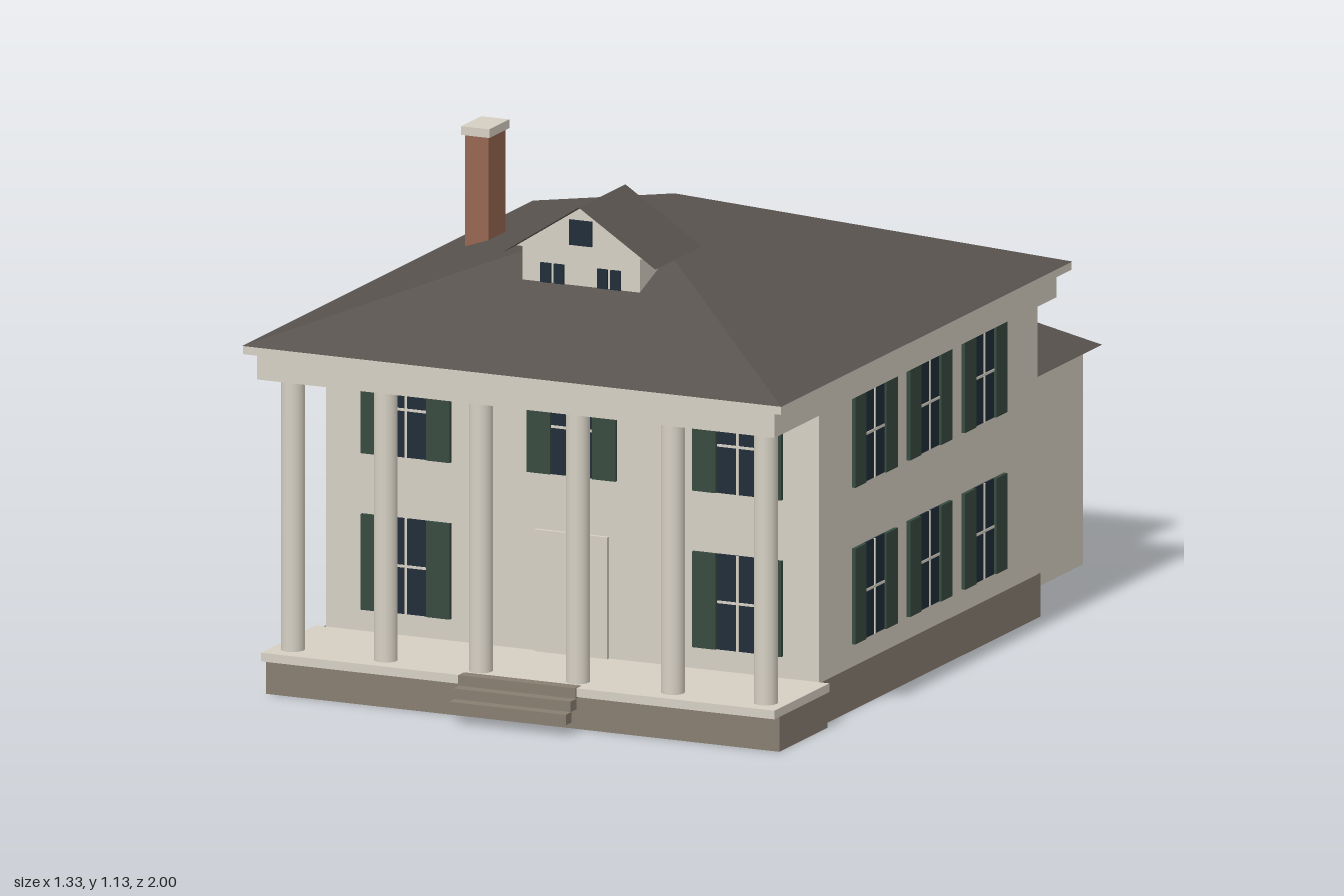
import * as THREE from 'three';

const mat = (name, color, side = THREE.FrontSide) => {
  const m = new THREE.MeshStandardMaterial({ color, side });
  m.name = name;
  return m;
};

export function createModel() {
  const cream = mat('creamPaint', 0xd6d0c3, THREE.DoubleSide);
  const stone = mat('foundationStone', 0x887e71, THREE.DoubleSide);
  const slate = mat('roofSlate', 0x59534f, THREE.DoubleSide);
  const green = mat('shutterGreen', 0x364a3f);
  const glass = mat('darkGlass', 0x1e2c38);
  const brick = mat('chimneyBrick', 0x966650);

  const house = new THREE.Group();
  house.name = 'house';

  const add = (name, geometry, material, parent = house) => {
    const mesh = new THREE.Mesh(geometry, material);
    mesh.name = name;
    parent.add(mesh);
    return mesh;
  };
  // Box given by its limits on each axis
  const box = (name, material, x0, x1, y0, y1, z0, z1, parent) => {
    const g = new THREE.BoxGeometry(x1 - x0, y1 - y0, z1 - z0);
    g.translate((x0 + x1) / 2, (y0 + y1) / 2, (z0 + z1) / 2);
    return add(name, g, material, parent);
  };
  // Four walls without floor or ceiling
  const ring = (name, material, w, y0, y1, z0, z1) => {
    const g = new THREE.CylinderGeometry(Math.SQRT1_2, Math.SQRT1_2, 1, 4, 1, true)
      .rotateY(Math.PI / 4).scale(2 * w, y1 - y0, z1 - z0)
      .translate(0, (y0 + y1) / 2, (z0 + z1) / 2).toNonIndexed();
    g.computeVertexNormals();
    return add(name, g, material);
  };
  // Flat-shaded polygons, each fanned from its first corner
  const faces = (name, material, polygons, parent) => {
    const p = [];
    for (const poly of polygons)
      for (let i = 1; i < poly.length - 1; i++) p.push(...poly[0], ...poly[i], ...poly[i + 1]);
    const g = new THREE.BufferGeometry();
    g.setAttribute('position', new THREE.Float32BufferAttribute(p, 3));
    g.computeVertexNormals();
    return add(name, g, material, parent);
  };
  // Hipped roof over a rectangle, with ridge ends r0 (back or left) and r1 (front or right)
  const hipRoof = (name, w, y, z0, z1, r0, r1, alongX) => {
    const a = [-w, y, z1], b = [w, y, z1], c = [w, y, z0], d = [-w, y, z0];
    const slopes = alongX
      ? [[a, b, r1, r0], [b, c, r1], [c, d, r0, r1], [d, a, r0]]
      : [[a, b, r1], [b, c, r0, r1], [c, d, r0], [d, a, r1, r0]];
    return faces(name, slate, [...slopes, [a, d, c, b]]);
  };

  // Main block
  ring('mainWalls', cream, 0.61, 0, 0.73, -0.475, 0.66);
  ring('foundation', stone, 0.615, 0, 0.1, -0.48, 0.665);
  box('frieze', cream, -0.64, 0.64, 0.73, 0.79, -0.51, 0.955);
  box('cornice', cream, -0.665, 0.665, 0.79, 0.808, -0.535, 0.975);
  hipRoof('mainRoof', 0.667, 0.809, -0.537, 0.977, [0, 1.043, 0.13], [0, 1.043, 0.315], false);

  // Rear wing
  ring('wingWalls', cream, 0.49, 0, 0.5, -0.965, -0.485);
  hipRoof('wingRoof', 0.52, 0.5, -1, -0.47, [-0.245, 0.66, -0.73], [0.245, 0.66, -0.73], true);

  // Porch: hollow skirt, floor, floating steps and columns
  ring('porchSkirt', stone, 0.635, 0, 0.08, 0.668, 0.92);
  box('porchFloor', cream, -0.635, 0.635, 0.08, 0.1, 0.66, 0.945);
  for (let i = 0; i < 3; i++)
    box('step', stone, -0.145, 0.145, 0.077 - i * 0.025, 0.101 - i * 0.025, 0.92 + i * 0.025, 0.95 + i * 0.025);
  for (const x of [0.12, 0.355, 0.585])
    for (const s of [-1, 1])
      add('column', new THREE.CylinderGeometry(0.027, 0.027, 0.63, 20), cream).position.set(s * x, 0.415, 0.885);
  box('door', cream, -0.09, 0.09, 0.1, 0.38, 0.66, 0.669);

  // Window facing +z in its own frame, with optional shutters
  const addWindow = (x, y, z, turn, shutters) => {
    const g = new THREE.Group();
    g.name = 'window';
    box('pane', glass, -0.05, 0.05, -0.11, 0.11, -0.002, 0.004, g);
    box('verticalBar', cream, -0.003, 0.003, -0.11, 0.11, 0, 0.006, g);
    box('horizontalBar', cream, -0.05, 0.05, -0.003, 0.003, 0, 0.006, g);
    if (shutters)
      for (const s of [-0.081, 0.081]) box('shutter', green, s - 0.029, s + 0.029, -0.11, 0.11, 0, 0.009, g);
    g.position.set(x, y, z);
    g.rotation.y = turn;
    house.add(g);
  };
  for (const y of [0.26, 0.62]) {
    for (const s of [-1, 1]) {
      addWindow(s * 0.41, y, 0.66, 0, true);
      for (const z of [0.38, 0.095, -0.19]) addWindow(s * 0.61, y, z, s * Math.PI / 2, true);
    }
  }
  addWindow(0, 0.62, 0.66, 0, true);
  for (const s of [-1, 1]) {
    addWindow(s * 0.41, 0.62, -0.475, Math.PI, false);
    addWindow(s * 0.29, 0.26, -0.965, Math.PI, false);
  }

  // Dormer: gabled body under a thin overhanging roof
  const dormer = new THREE.Group();
  dormer.name = 'dormer';
  house.add(dormer);
  box('dormerWalls', cream, -0.145, 0.145, 0.935, 1.02, 0.4, 0.615, dormer);
  const gable = z => [[-0.16, 1.014, z], [0.16, 1.014, z], [0, 1.117, z]];
  faces('gables', cream, [gable(0.616), gable(0.398).reverse()], dormer);
  faces('dormerRoof', slate, [-1, 1].map(s => {
    const q = [[0, 1.12, 0.628], [s * 0.19, 0.997, 0.628], [s * 0.19, 0.997, 0.385], [0, 1.12, 0.385]];
    return s > 0 ? q : q.reverse();
  }), dormer);
  box('atticPane', glass, -0.028, 0.028, 1.03, 1.088, 0.614, 0.62, dormer);
  for (const x of [-0.0865, -0.0535, 0.0535, 0.0865])
    box('dormerPane', glass, x - 0.0125, x + 0.0125, 0.937, 0.982, 0.612, 0.62, dormer);

  // Chimney
  box('chimneyShaft', brick, -0.543, -0.485, 0.8, 1.11, -0.01, 0.078);
  box('chimneyCap', cream, -0.549, -0.479, 1.11, 1.13, -0.018, 0.086);

  return house;
}
